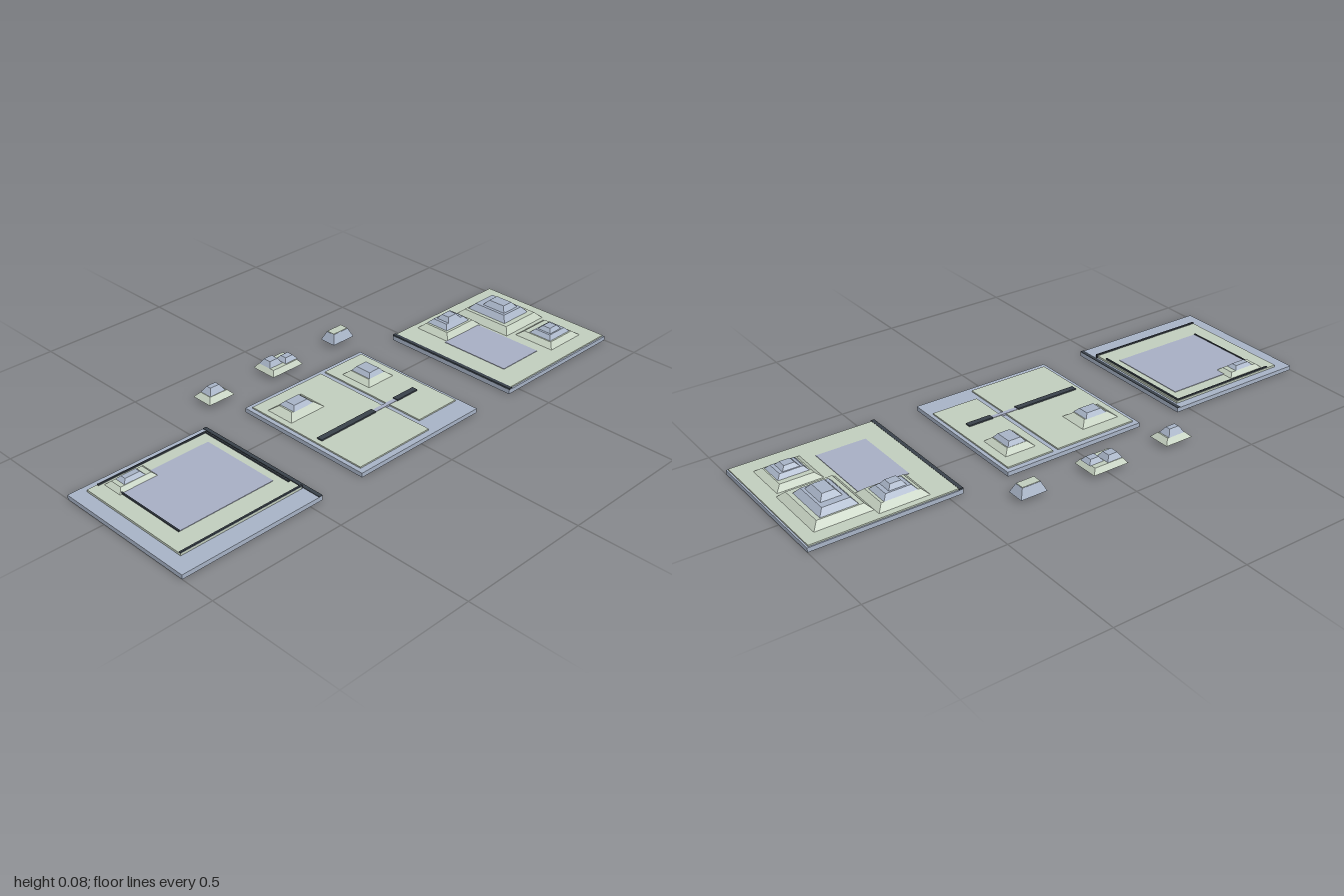
import * as THREE from 'three';

const mat = (name, color) => {
  const m = new THREE.MeshStandardMaterial({ color });
  m.name = name;
  return m;
};

export function createModel() {
  const slate = mat('slate', 0xa9b5c8);
  const lilac = mat('lilac slate', 0xa9b0c6);
  const green = mat('pale green', 0xc3cfbf);
  const dark = mat('charcoal', 0x3a424b);
  const root = new THREE.Group();
  root.name = 'terrainTiles';

  const group = (name) => {
    const g = new THREE.Group();
    g.name = name;
    root.add(g);
    return g;
  };

  // Block given by its extents; the top is drawn in by inset on every side
  const block = (parent, name, m, [x0, x1], [y0, y1], [z0, z1], inset = 0) => {
    const w = x1 - x0, d = z1 - z0;
    const g = new THREE.BoxGeometry(w, y1 - y0, d);
    const p = g.attributes.position;
    for (let i = 0; i < p.count; i++) {
      if (p.getY(i) < 0) continue;
      p.setX(i, p.getX(i) * (1 - 2 * inset / w));
      p.setZ(i, p.getZ(i) * (1 - 2 * inset / d));
    }
    g.computeVertexNormals();
    const mesh = new THREE.Mesh(g, m);
    mesh.name = name;
    mesh.position.set((x0 + x1) / 2, (y0 + y1) / 2, (z0 + z1) / 2);
    parent.add(mesh);
    return mesh;
  };

  // Stepped hill: each tier is [x range, z range, top height, inset]; lowest tier is green
  const hill = (parent, name, y, tiers) => {
    const g = new THREE.Group();
    g.name = name;
    parent.add(g);
    tiers.forEach(([x, z, top, inset], i) => {
      block(g, 'tier' + (i + 1), i ? slate : green, x, [y, top], z, inset);
      y = top;
    });
  };

  const Z = [-0.184, 0.368];
  const base = (name, x) => {
    const g = group(name);
    block(g, 'base', slate, x, [0, 0.016], Z);
    return g;
  };

  // Left tile: sunken court with thin rails
  const court = base('courtTile', [-1, -0.448]);
  block(court, 'courtGround', green, [-0.947, -0.47], [0.016, 0.024], [-0.155, 0.297]);
  block(court, 'courtFloor', lilac, [-0.88, -0.51], [0.024, 0.026], [-0.1, 0.212]);
  [
    [[-0.947, -0.465], [0.291, 0.297]],
    [[-0.91, -0.476], [-0.153, -0.148]],
    [[-0.481, -0.475], [-0.15, 0.25]],
    [[-0.885, -0.88], [-0.13, 0.212]],
  ].forEach(([x, z]) => block(court, 'rail', dark, x, [0.016, 0.029], z));
  block(court, 'edgeStrip', dark, [-0.462, -0.448], [0.016, 0.018], Z);
  hill(court, 'courtHill', 0.024, [
    [[-0.893, -0.743], [-0.14, -0.06], 0.038, 0.016],
    [[-0.861, -0.78], [-0.124, -0.078], 0.05, 0.012],
  ]);

  // Middle tile: two fields, crossing ditch, two hills
  const fields = base('fieldTile', [-0.276, 0.276]);
  block(fields, 'leftField', green, [-0.26, 0.06], [0.016, 0.021], [-0.165, 0.345]);
  block(fields, 'rightField', green, [0.08, 0.262], [0.016, 0.021], [-0.165, 0.285]);
  block(fields, 'ditchLeft', dark, [-0.242, 0.01], [0.021, 0.026], [0.13, 0.152]);
  block(fields, 'ditchRight', dark, [0.116, 0.214], [0.021, 0.026], [0.13, 0.152]);
  block(fields, 'ditchCrossing', lilac, [0.01, 0.116], [0.016, 0.0225], [0.133, 0.149]);
  hill(fields, 'leftHill', 0.021, [
    [[-0.237, -0.085], [-0.113, 0.002], 0.04, 0.027],
    [[-0.204, -0.116], [-0.091, -0.02], 0.054, 0.014],
  ]);
  hill(fields, 'rightHill', 0.021, [
    [[0.11, 0.23], [-0.107, 0.022], 0.038, 0.02],
    [[0.134, 0.206], [-0.086, 0.002], 0.053, 0.012],
  ]);

  // Right tile: meadow with a paved patch and three hills
  const meadow = base('meadowTile', [0.448, 1]);
  block(meadow, 'meadowGround', green, [0.456, 0.994], [0.016, 0.021], [-0.179, 0.362]);
  block(meadow, 'edgeStrip', dark, [0.448, 0.462], [0.016, 0.022], Z);
  block(meadow, 'pavedPatch', lilac, [0.54, 0.727], [0.021, 0.023], [-0.01, 0.268]);
  hill(meadow, 'backHill', 0.021, [
    [[0.552, 0.738], [-0.156, -0.008], 0.041, 0.022],
    [[0.583, 0.706], [-0.134, -0.04], 0.057, 0.015],
    [[0.61, 0.675], [-0.112, -0.055], 0.073, 0.012],
  ]);
  hill(meadow, 'highHill', 0.021, [
    [[0.738, 0.947], [-0.128, 0.118], 0.043, 0.022],
    [[0.775, 0.91], [-0.1, 0.075], 0.064, 0.018],
    [[0.805, 0.882], [-0.055, 0.046], 0.083, 0.016],
  ]);
  hill(meadow, 'frontHill', 0.021, [
    [[0.77, 0.936], [0.134, 0.3], 0.037, 0.022],
    [[0.797, 0.909], [0.177, 0.272], 0.051, 0.014],
    [[0.82, 0.882], [0.196, 0.253], 0.064, 0.012],
  ]);

  // Loose pieces behind the tiles
  const loose = group('loosePieces');
  hill(loose, 'leftPiece', 0.017, [
    [[-0.353, -0.242], [-0.364, -0.278], 0.035, 0.018],
    [[-0.333, -0.265], [-0.348, -0.298], 0.057, 0.015],
  ]);
  hill(loose, 'twinPiece', 0.017, [
    [[-0.073, 0.068], [-0.369, -0.266], 0.035, 0.014],
    [[-0.06, 0], [-0.353, -0.298], 0.054, 0.012],
  ]);
  block(loose, 'twinPeak', slate, [0.003, 0.06], [0.035, 0.05], [-0.335, -0.285], 0.012);
  block(loose, 'rightPiece', slate, [0.241, 0.342], [0.017, 0.05], [-0.35, -0.284], 0.015);
  block(loose, 'rightPieceTop', green, [0.257, 0.326], [0.05, 0.052], [-0.334, -0.3]);

  return root;
}
